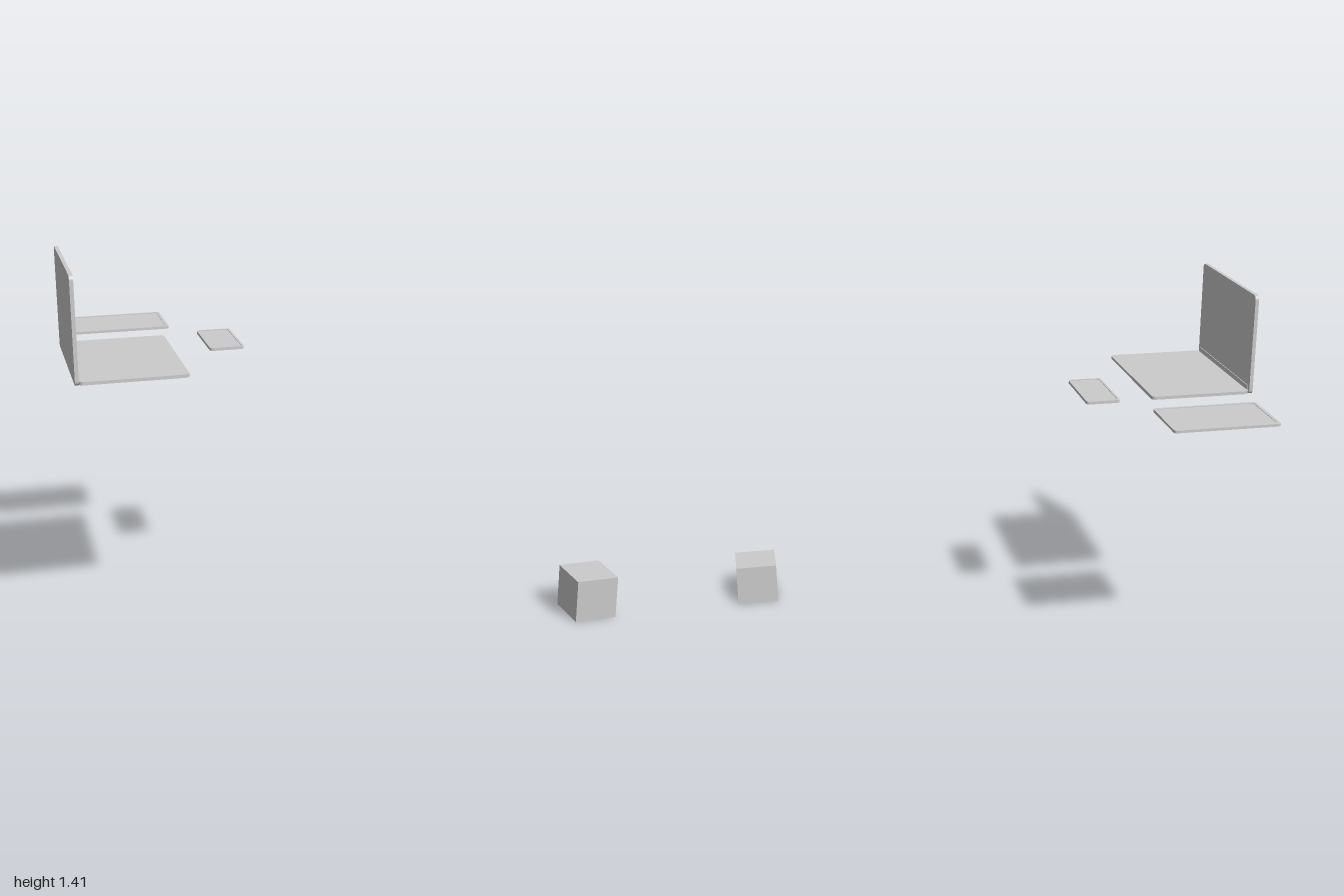
import * as THREE from 'three';

const material = new THREE.MeshStandardMaterial({ color: 0xcccccc, flatShading: true });

// Rounded rectangle centred on the origin
function roundedRect(w, d, r, Type = THREE.Shape) {
  const s = new Type(), x = w / 2, y = d / 2;
  s.moveTo(-x + r, -y);
  s.lineTo(x - r, -y).absarc(x - r, -y + r, r, -Math.PI / 2, 0);
  s.lineTo(x, y - r).absarc(x - r, y - r, r, 0, Math.PI / 2);
  s.lineTo(-x + r, y).absarc(-x + r, y - r, r, Math.PI / 2, Math.PI);
  s.lineTo(-x, -y + r).absarc(-x + r, -y + r, r, Math.PI, Math.PI * 1.5);
  return s;
}

// Flat plate lying in xz, its underside at y = 0; an inset turns it into a rim
function plate(name, w, d, h, r, inset = 0) {
  const shape = roundedRect(w, d, r);
  if (inset) shape.holes.push(roundedRect(w - 2 * inset, d - 2 * inset, r * 0.6, THREE.Path));
  const geo = new THREE.ExtrudeGeometry(shape, { depth: h, bevelEnabled: false, curveSegments: 5 });
  geo.rotateX(-Math.PI / 2);
  const mesh = new THREE.Mesh(geo, material);
  mesh.name = name;
  return mesh;
}

function box(name, w, h, d) {
  const mesh = new THREE.Mesh(new THREE.BoxGeometry(w, h, d), material);
  mesh.name = name;
  return mesh;
}

// Slim device: body with a raised rim around its display
function slimDevice(name, w, d, h, r, rim) {
  const g = new THREE.Group();
  g.name = name;
  const edge = plate(name + 'Rim', w, d, h * 0.2, r, rim);
  edge.position.y = h * 0.8;
  g.add(plate(name + 'Body', w, d, h * 0.8, r), edge);
  return g;
}

function createLaptop() {
  const g = new THREE.Group();
  g.name = 'laptop';
  const base = plate('keyboardBase', 0.387, 0.577, 0.012, 0.016);
  base.position.set(-0.792, 1.027, 0.075);

  // Upright lid, its display facing +x
  const lid = plate('lid', 0.387, 0.577, 0.014, 0.016);
  lid.rotation.z = -Math.PI / 2;
  lid.position.set(-1, 1.219, 0.075);

  // Narrow hinge strip joining lid and base
  const hinge = box('hinge', 0.004, 0.022, 0.54);
  hinge.position.set(-0.985, 1.047, 0.075);
  g.add(base, lid, hinge);
  return g;
}

export function createModel() {
  const model = new THREE.Group();
  model.name = 'deskDevices';

  const tablet = slimDevice('tablet', 0.402, 0.257, 0.01, 0.012, 0.012);
  tablet.position.set(-0.757, 1.03, -0.475);

  const phone = slimDevice('phone', 0.13, 0.285, 0.011, 0.012, 0.008);
  phone.position.set(-0.4, 1.032, -0.093);

  const cube = box('cube', 0.168, 0.168, 0.168);
  cube.position.set(0.916, 0.084, 0.518);

  model.add(createLaptop(), tablet, phone, cube);
  return model;
}
